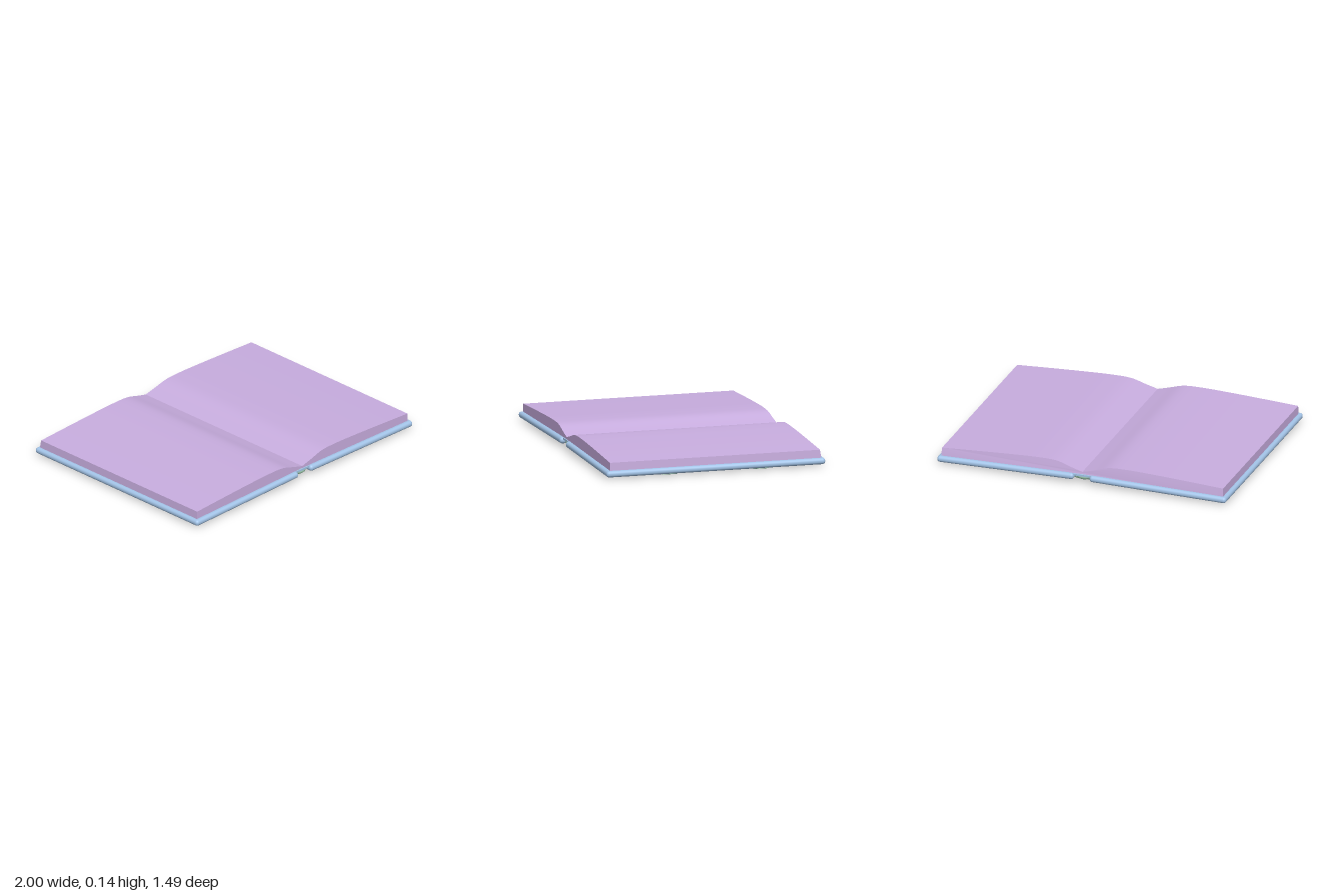
import * as THREE from 'three';
import { RoundedBoxGeometry } from 'three/addons/geometries/RoundedBoxGeometry.js';
import { toCreasedNormals } from 'three/addons/utils/BufferGeometryUtils.js';

export function createModel() {
  const book = new THREE.Group();
  book.name = 'openBook';
  const paper = new THREE.MeshStandardMaterial({ color: 0xc8addf });
  const board = new THREE.MeshStandardMaterial({ color: 0xa3c4e8 });
  const cord = new THREE.MeshStandardMaterial({ color: 0xa9d8bb });

  function add(name, geometry, material, x = 0, y = 0, z = 0) {
    const mesh = new THREE.Mesh(geometry, material);
    mesh.name = name;
    mesh.position.set(x, y, z);
    book.add(mesh);
    return mesh;
  }

  // Page block: arched cross-section swept along the spine, valley in the middle
  const half = new THREE.CatmullRomCurve3([
    [0, 0.08], [0.08, 0.102], [0.18, 0.13], [0.3, 0.135], [0.5, 0.129], [0.75, 0.117], [0.972, 0.105],
  ].map(([x, y]) => new THREE.Vector3(x, y, 0))).getPoints(28);
  const section = new THREE.Shape();
  section.moveTo(-0.975, 0.045);
  section.lineTo(0, 0.066);
  section.lineTo(0.975, 0.045);
  for (const p of [...half].reverse()) section.lineTo(p.x, p.y);
  for (const p of half.slice(1)) section.lineTo(-p.x, p.y);
  section.closePath();
  const pages = new THREE.ExtrudeGeometry(section, { depth: 1.436, bevelEnabled: false });
  pages.translate(0, 0, -0.72);
  // Back edge leans forward a little towards the top
  const pos = pages.attributes.position;
  for (let i = 0; i < pos.count; i++) {
    if (pos.getZ(i) < 0) pos.setZ(i, pos.getZ(i) + Math.max(0, pos.getY(i) - 0.06) * 0.2);
  }
  add('pages', toCreasedNormals(pages, 0.5), paper);

  // Thin strip under the pages joining the two covers
  add('spine', new THREE.BoxGeometry(0.15, 0.012, 1.45), board, 0, 0.058, -0.003);

  for (const s of [-1, 1]) {
    // Cover boards, sloping slightly down from the spine
    const cover = add(s > 0 ? 'leftCover' : 'rightCover',
      new RoundedBoxGeometry(0.945, 0.042, 1.487, 5, 0.02), board, s * 0.527, 0.038, 0);
    cover.rotation.z = -s * 0.015;

    // Corner tabs on the underside near the outer edges
    for (const z of [-0.31, 0.31]) {
      add('tab', new RoundedBoxGeometry(0.1, 0.018, 0.1, 2, 0.004), cord, s * 0.925, 0.013, z);
      const stud = add('tabStud', new THREE.SphereGeometry(0.02, 16, 10), cord, s * 0.925, 0.006, z);
      stud.scale.set(1, 0.3, 1);
    }
  }

  // Cord bands wound across the spine gap
  const spool = new THREE.LatheGeometry([
    [0, -0.05], [0.03, -0.05], [0.036, -0.04], [0.03, -0.02], [0.026, 0],
    [0.03, 0.02], [0.036, 0.04], [0.03, 0.05], [0, 0.05],
  ].map(([r, h]) => new THREE.Vector2(r, h)), 20);
  spool.rotateZ(Math.PI / 2);
  spool.scale(1, 0.7, 1);
  for (const z of [-0.42, 0, 0.42]) add('spineBand', spool, cord, 0, 0.041, z);

  // Knots at both spine ends, each with two loose tails under the covers
  for (const e of [-1, 1]) {
    const knot = add('knot', new THREE.SphereGeometry(1, 20, 14), cord, 0, 0.048, e * 0.692);
    knot.scale.set(0.05, 0.027, 0.03);
    for (const s of [-1, 1]) {
      const lobe = add('knotLobe', new THREE.SphereGeometry(1, 14, 10), cord, s * 0.035, 0.057, e * 0.692);
      lobe.scale.set(0.024, 0.018, 0.027);
      const path = new THREE.CatmullRomCurve3([
        new THREE.Vector3(0, 0.036, e * 0.69),
        new THREE.Vector3(s * 0.05, 0.018, e * 0.655),
        new THREE.Vector3(s * 0.13, 0.014, e * 0.595),
        new THREE.Vector3(s * 0.22, 0.015, e * 0.53),
      ]);
      add('knotTail', new THREE.TubeGeometry(path, 20, 0.012, 10), cord);
      const tip = add('tailTip', new THREE.SphereGeometry(0.013, 10, 8), cord, s * 0.22, 0.015, e * 0.53);
      tip.scale.y = 0.95;
    }
  }
  return book;
}
